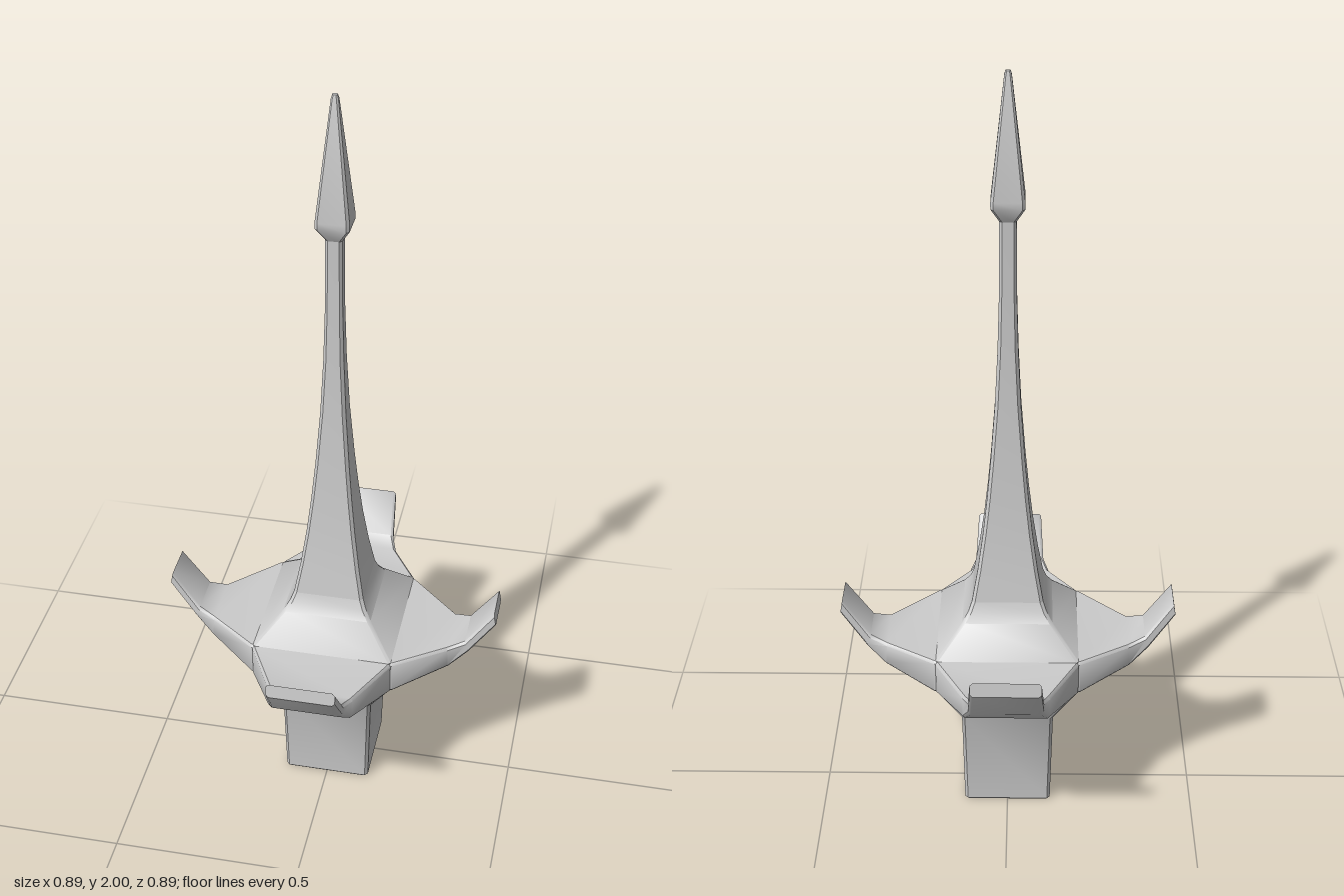
import * as THREE from 'three';
import { toCreasedNormals } from 'three/addons/utils/BufferGeometryUtils.js';

const material = new THREE.MeshStandardMaterial({ color: 0xcccccc });

// Skins a list of equal-sized rings of Vector3 and caps both ends.
function loft(rings, crease) {
  const n = rings[0].length, index = [];
  const points = rings.flat();
  for (let r = 0; r < rings.length - 1; r++) {
    for (let i = 0; i < n; i++) {
      const a = r * n + i, b = r * n + (i + 1) % n;
      index.push(a, b, a + n, b, b + n, a + n);
    }
  }
  const last = (rings.length - 1) * n;
  for (let i = 1; i < n - 1; i++) {
    index.push(0, i + 1, i);
    index.push(last, last + i, last + i + 1);
  }
  const geometry = new THREE.BufferGeometry().setFromPoints(points);
  geometry.setIndex(index);
  return toCreasedNormals(geometry, crease);
}

// Rectangle with cut corners, counter-clockwise in its own (u, v) plane.
function bevelledRect(w, h, c) {
  return [[w, -h + c], [w, h - c], [w - c, h], [-w + c, h],
    [-w, h - c], [-w, -h + c], [-w + c, -h], [w - c, -h]];
}

// Square column from a profile of [y, halfWidth, bevel].
function squareColumn(name, profile) {
  const rings = profile.map(([y, s, c]) =>
    bevelledRect(s, s, c).map(([u, v]) => new THREE.Vector3(u, y, -v)));
  const mesh = new THREE.Mesh(loft(rings, 0.6), material);
  mesh.name = name;
  return mesh;
}

// Upturned guard arm running along +z; each station is
// [z of top, y of top, z of bottom, y of bottom].
const armStations = [
  [0.17, 0.49, 0.17, 0.394], [0.19, 0.49, 0.19, 0.395],
  [0.32, 0.475, 0.325, 0.412], [0.365, 0.49, 0.375, 0.457],
  [0.438, 0.592, 0.444, 0.555],
];

function guardArm(name, halfWidths, angle) {
  const rings = armStations.map(([zt, yt, zb, yb], i) => {
    const top = new THREE.Vector3(0, yt, zt), bottom = new THREE.Vector3(0, yb, zb);
    const half = top.distanceTo(bottom) / 2;
    return bevelledRect(halfWidths[i], half, 0.007).map(([u, v]) => {
      const p = bottom.clone().lerp(top, (v / half + 1) / 2);
      p.x = u;
      return p;
    });
  });
  const mesh = new THREE.Mesh(loft(rings, 0.75), material);
  mesh.name = name;
  mesh.rotation.y = angle;
  return mesh;
}

export function createModel() {
  const model = new THREE.Group();
  model.name = 'spire';

  // Handle flaring up to the guard
  model.add(squareColumn('handle', [
    [0, 0.113, 0.008], [0.004, 0.116, 0.008], [0.27, 0.122, 0.008], [0.394, 0.186, 0.008],
  ]));

  // Guard block with sloped shoulders
  model.add(squareColumn('guardBlock', [
    [0.394, 0.186, 0.006], [0.49, 0.186, 0.006], [0.565, 0.118, 0.008],
    [0.59, 0.102, 0.008], [0.615, 0.093, 0.008],
  ]));

  // Tapering shaft
  model.add(squareColumn('shaft', [
    [0.615, 0.093, 0.008], [0.7, 0.078, 0.008], [0.8, 0.064, 0.008], [0.9, 0.053, 0.008],
    [1.0, 0.044, 0.008], [1.15, 0.033, 0.008], [1.3, 0.026, 0.008],
    [1.45, 0.022, 0.007], [1.64, 0.021, 0.007],
  ]));

  // Pointed tip
  model.add(squareColumn('tip', [
    [1.635, 0.021, 0.007], [1.672, 0.042, 0.007], [1.69, 0.042, 0.007],
    [1.99, 0.009, 0.004], [2.0, 0.006, 0.003],
  ]));

  // Four guard arms: wide pair front and back, narrow pair at the sides
  const wide = [0.186, 0.186, 0.112, 0.096, 0.089];
  const narrow = [0.186, 0.186, 0.078, 0.061, 0.055];
  ['front', 'left', 'back', 'right'].forEach((side, i) => {
    model.add(guardArm(side + 'Arm', i % 2 ? narrow : wide, i * Math.PI / 2));
  });
  return model;
}
